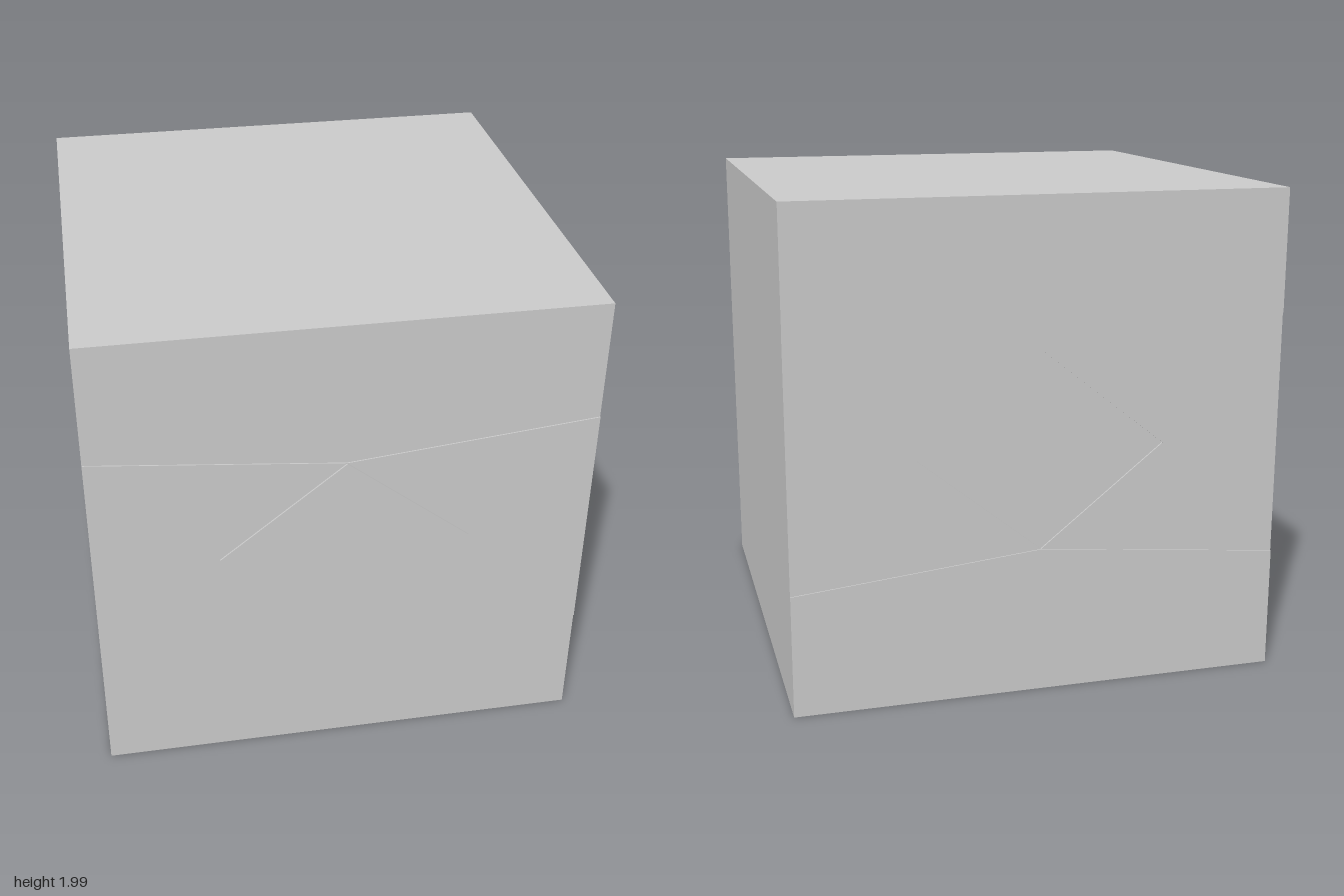
import * as THREE from 'three';

const HALF = 0.995;    // half the width and height of the block
const DEPTH = 1.988;   // front-to-back length of every piece

export function createModel() {
  const group = new THREE.Group();
  const material = new THREE.MeshStandardMaterial({ color: 0xcccccc, flatShading: true });

  // Prism running front to back; outline is relative to the block's centre,
  // slide pushes the piece forward out of the block
  function addPrism(name, outline, slide, sx = 1, sy = 1) {
    const shape = new THREE.Shape(outline.map(([x, y]) => new THREE.Vector2(x * sx, y * sy)));
    const geometry = new THREE.ExtrudeGeometry(shape, { depth: DEPTH, bevelEnabled: false });
    const mesh = new THREE.Mesh(geometry, material);
    mesh.name = name;
    mesh.position.set(0, HALF, -1 + slide);
    group.add(mesh);
  }

  // Top and bottom blocks with a shallow V on the inner side
  const cap = [[-HALF, HALF], [-HALF, 0.5], [0, 0.4], [HALF, 0.5], [HALF, HALF]];
  addPrism('topBlock', cap, 0);
  addPrism('bottomBlock', cap, 0, 1, -1);

  // Four wedges around the core, pushed slightly forward
  const wedge = [[HALF, 0], [HALF, 0.5], [0, 0.4], [0.5, 0]];
  for (const [sx, side] of [[1, 'left'], [-1, 'right']]) {
    addPrism(side + 'UpperWedge', wedge, 0.005, sx, 1);
    addPrism(side + 'LowerWedge', wedge, 0.005, sx, -1);
  }

  // Diamond core, standing proud of the front and sunk into the back
  addPrism('diamondCore', [[0.5, 0], [0, 0.4], [-0.5, 0], [0, -0.4]], 0.012);

  return group;
}
